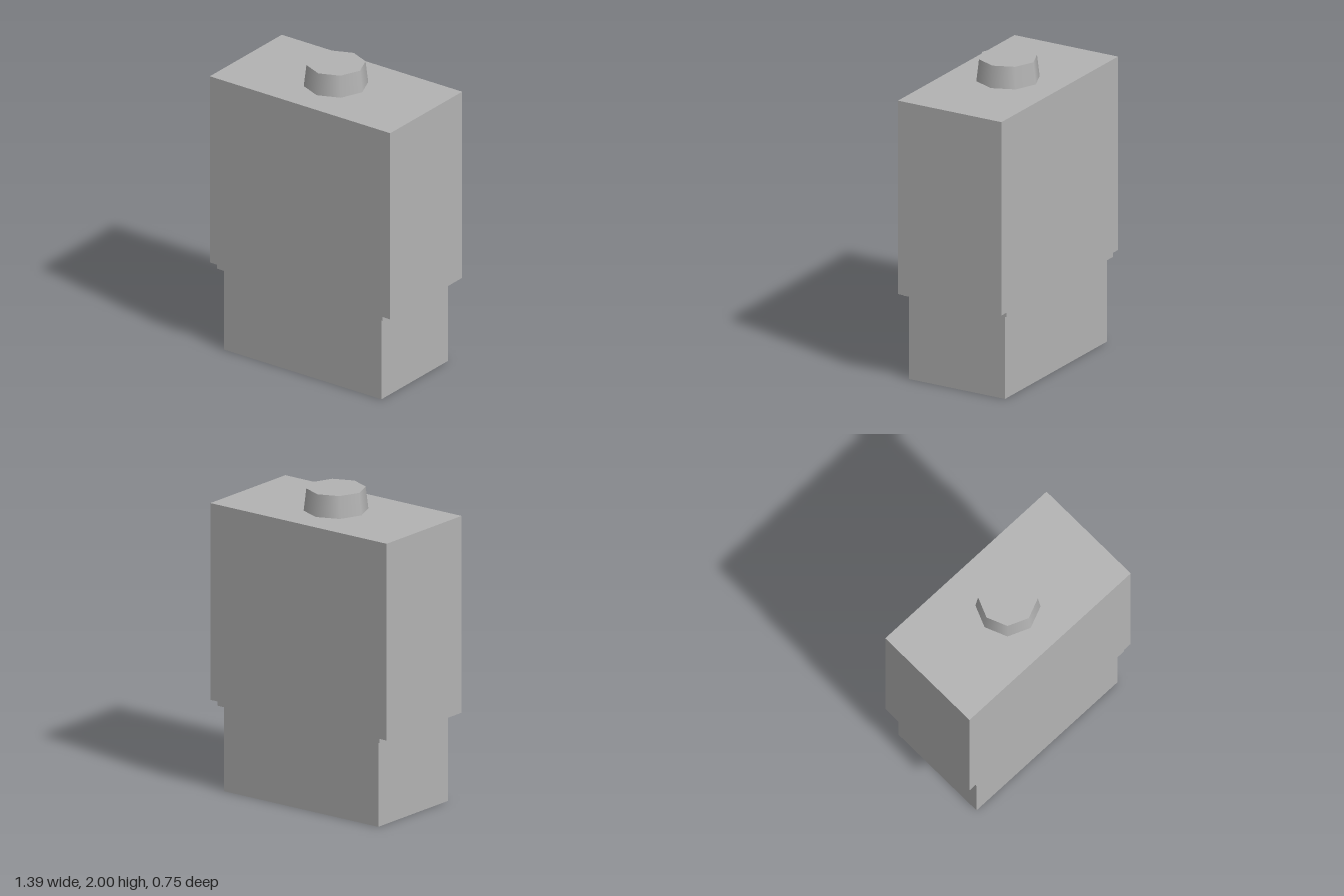
import * as THREE from 'three';

export function createModel() {
  const model = new THREE.Group();
  const grey = new THREE.MeshStandardMaterial({ color: 0xb3b3b3 });
  grey.name = 'grey';

  const add = (name, geometry, bottom, top) => {
    const mesh = new THREE.Mesh(geometry, grey);
    mesh.name = name;
    mesh.position.y = (bottom + top) / 2;
    model.add(mesh);
  };
  const block = (name, width, depth, bottom, top) =>
    add(name, new THREE.BoxGeometry(width, top - bottom, depth), bottom, top);

  // Stacked blocks: narrow base, thin ledge, tall main body
  block('base', 1.215, 0.695, 0, 0.555);
  block('ledge', 1.275, 0.75, 0.555, 0.582);
  block('body', 1.39, 0.75, 0.582, 1.857);

  // Tapered eight-sided knob with smooth sides
  add('knob', new THREE.CylinderGeometry(0.185, 0.202, 0.143, 8), 1.857, 2);

  return model;
}
